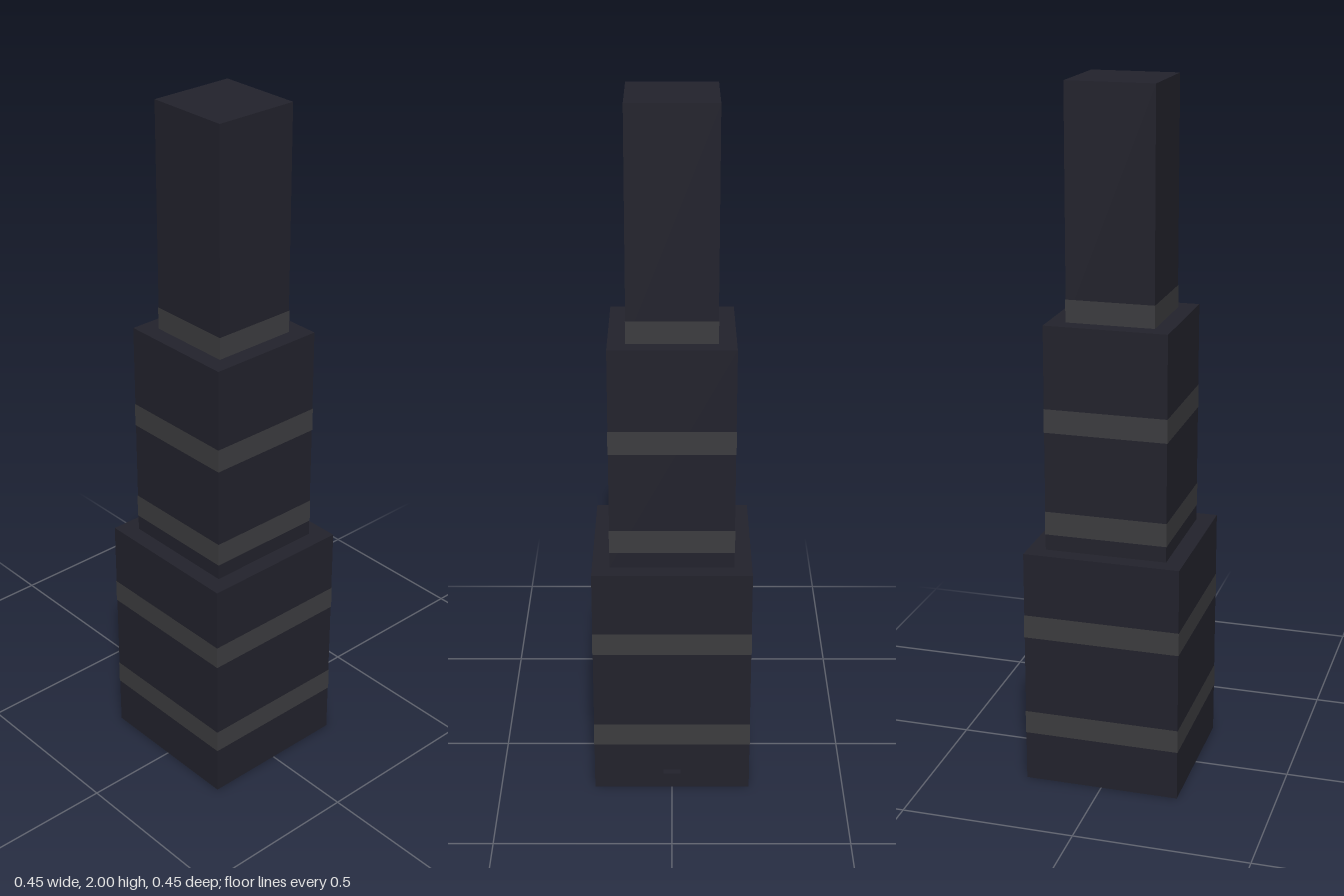
import * as THREE from 'three';

export function createModel() {
  const tower = new THREE.Group();
  tower.name = 'tower';
  const wallMat = new THREE.MeshStandardMaterial({ color: 0x22222c });
  wallMat.name = 'dark wall';
  const bandMat = new THREE.MeshStandardMaterial({ color: 0x3c3c3f });
  bandMat.name = 'grey band';

  function add(geometry, material, name, x, y, z) {
    const mesh = new THREE.Mesh(geometry, material);
    mesh.name = name;
    mesh.position.set(x, y, z);
    tower.add(mesh);
    return mesh;
  }

  // Square sleeve with flat sides, open above and below
  function sleeve(width, height) {
    const r = width / Math.SQRT2;
    const g = new THREE.CylinderGeometry(r, r, height, 4, 1, true).rotateY(Math.PI / 4).toNonIndexed();
    g.computeVertexNormals();
    return g;
  }

  // Lower tier: solid body plus a rear wall pierced by the small niche
  const base = { width: 0.45, height: 0.7 };
  const half = base.width / 2;
  const niche = { width: 0.05, bottom: 0.045, top: 0.145, depth: 0.02 };
  add(new THREE.BoxGeometry(base.width, base.height, base.width - niche.depth), wallMat,
    'lowerTier', 0, base.height / 2, niche.depth / 2);

  const wall = new THREE.Shape([
    new THREE.Vector2(-half, 0), new THREE.Vector2(half, 0),
    new THREE.Vector2(half, base.height), new THREE.Vector2(-half, base.height),
  ]);
  const n = niche.width / 2;
  wall.holes.push(new THREE.Path([
    new THREE.Vector2(-n, niche.bottom), new THREE.Vector2(-n, niche.top),
    new THREE.Vector2(n, niche.top), new THREE.Vector2(n, niche.bottom),
  ]));
  add(new THREE.ExtrudeGeometry(wall, { depth: niche.depth, bevelEnabled: false }), wallMat,
    'rearWallWithNiche', 0, 0, -half);

  // Upper tiers, each stepped in
  add(new THREE.BoxGeometry(0.35, 0.65, 0.35), wallMat, 'middleTier', 0, 1.025, 0);
  add(new THREE.BoxGeometry(0.25, 0.65, 0.25), wallMat, 'upperTier', 0, 1.675, 0);

  // Bands at regular heights, wrapped around all four sides
  const widths = [0.45, 0.45, 0.35, 0.35, 0.25];
  widths.forEach((width, i) => {
    add(sleeve(width + 0.002, 0.068), bandMat, 'band' + (i + 1), 0, 0.18 + 0.3 * i, 0);
  });

  return tower;
}
